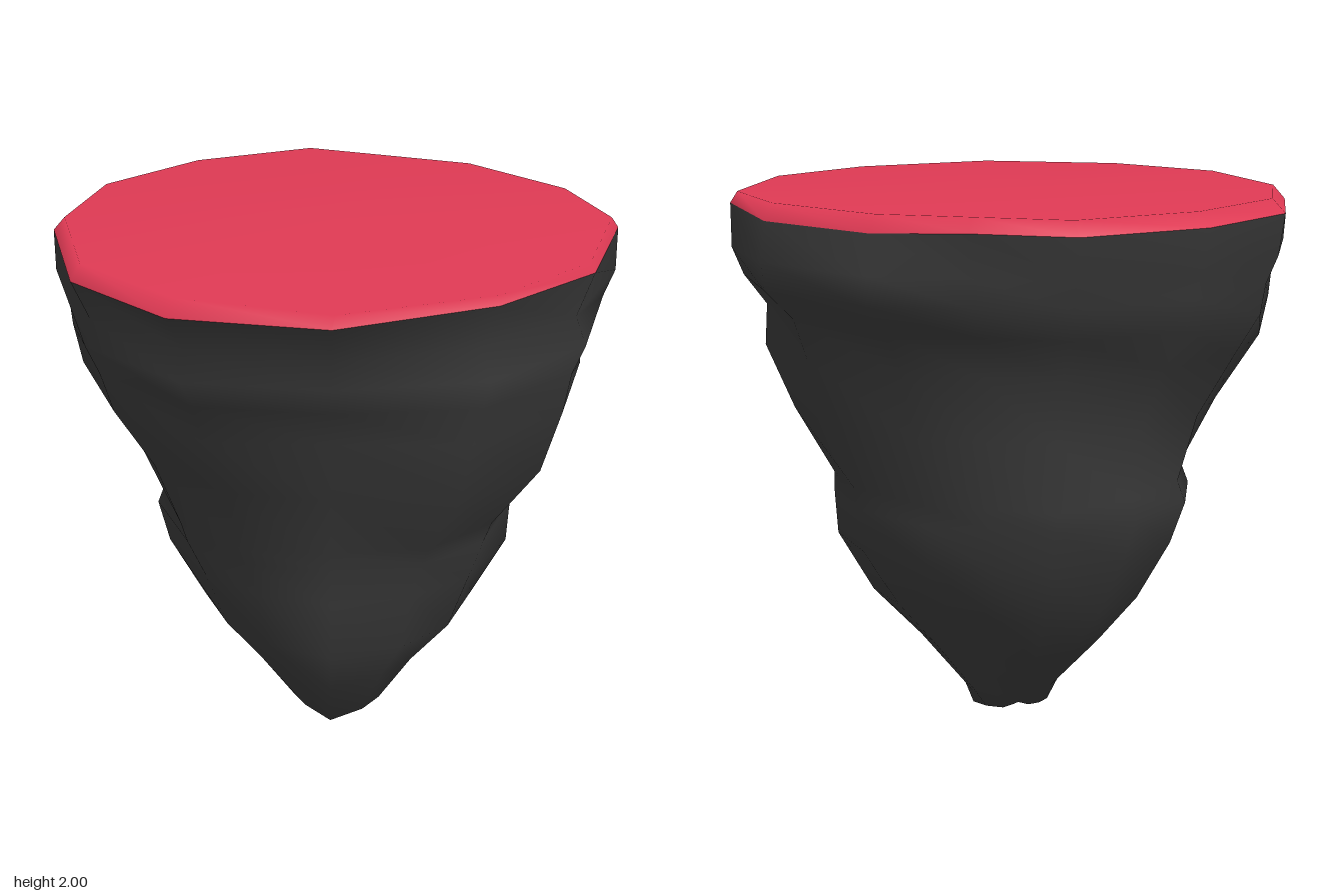
import * as THREE from 'three';

// Rim outline: x, z, y
const rim = [
  [-0.29, -0.97, 1.95], [0.2, -0.98, 1.95], [0.66, -0.79, 1.95], [0.81, -0.46, 1.95],
  [0.95, -0.15, 1.94], [0.94, 0.35, 1.94], [0.76, 0.71, 1.96], [0.28, 0.98, 1.965],
  [-0.21, 0.98, 1.97], [-0.73, 0.74, 1.96], [-0.99, 0.25, 1.94], [-0.98, -0.25, 1.94],
  [-0.68, -0.73, 1.95],
];

// Reach of the rim in eight directions: +x, +x+z, +z, -x+z, -x, -x-z, -z, +x-z
const rimReach = [0.95, 1.04, 0.98, 1.04, 0.99, 1.0, 0.98, 1.025];

// Rock layers: height, then reach in the same eight directions
const layers = [
  [1.80, 0.98, 1.04, 0.90, 0.91, 0.91, 1.00, 0.95, 0.98],
  [1.70, 0.99, 1.00, 0.97, 0.90, 0.95, 0.96, 0.91, 0.95],
  [1.59, 0.87, 0.92, 0.94, 0.83, 0.89, 0.95, 0.89, 0.89],
  [1.44, 0.78, 0.93, 0.90, 0.74, 0.84, 0.92, 0.78, 0.79],
  [1.20, 0.71, 0.83, 0.84, 0.67, 0.70, 0.76, 0.66, 0.75],
  [0.95, 0.66, 0.69, 0.65, 0.58, 0.62, 0.63, 0.62, 0.71],
  [0.87, 0.65, 0.69, 0.61, 0.56, 0.58, 0.66, 0.65, 0.68],
  [0.71, 0.62, 0.68, 0.54, 0.52, 0.50, 0.62, 0.59, 0.63],
  [0.48, 0.47, 0.55, 0.48, 0.50, 0.43, 0.49, 0.47, 0.51],
  [0.29, 0.33, 0.37, 0.34, 0.40, 0.29, 0.34, 0.32, 0.35],
  [0.08, 0.18, 0.20, 0.22, 0.28, 0.16, 0.16, 0.13, 0.14],
  [0.00, 0.11, 0.17, 0.09, 0.04, 0.06, 0.12, 0.08, 0.03],
];

// Moves a rim corner in or out by the reaches of the two directions beside it
function fitCorner([x, z], [y, ...reach]) {
  const turn = (Math.atan2(z, x) / (Math.PI / 4) + 8) % 8;
  const a = Math.floor(turn), b = (a + 1) % 8;
  const t = THREE.MathUtils.smoothstep(turn - a, 0, 1);
  const scale = THREE.MathUtils.lerp(reach[a] / rimReach[a], reach[b] / rimReach[b], t);
  return [x * scale, y, z * scale];
}

// Skins a stack of rings, top to bottom, and closes one end with a centre point
function skin(rings, center, closeTop) {
  const n = rings[0].length;
  const index = [];
  for (let r = 0; r < rings.length - 1; r++) {
    for (let i = 0; i < n; i++) {
      const j = (i + 1) % n;
      const a = r * n + i, b = r * n + j, c = a + n, d = b + n;
      index.push(c, a, b, c, b, d);
    }
  }
  const tip = rings.length * n;
  const base = closeTop ? 0 : tip - n;
  for (let i = 0; i < n; i++) {
    const j = (i + 1) % n;
    if (closeTop) index.push(tip, base + j, base + i);
    else index.push(tip, base + i, base + j);
  }
  const geometry = new THREE.BufferGeometry();
  geometry.setAttribute('position', new THREE.Float32BufferAttribute([...rings.flat(2), ...center], 3));
  geometry.setIndex(index);
  geometry.computeVertexNormals();
  return geometry;
}

function part(name, geometry, color) {
  const mesh = new THREE.Mesh(geometry, new THREE.MeshStandardMaterial({ color }));
  mesh.name = name;
  return mesh;
}

export function createModel() {
  const group = new THREE.Group();
  group.name = 'floatingIsland';

  const edge = rim.map(([x, z, y]) => [x, y, z]);

  // Rock underside: the rim outline shrinks unevenly towards a narrow tip
  const rock = layers.map((layer) => rim.map((corner) => fitCorner(corner, layer)));
  group.add(part('rockUnderside', skin([edge, ...rock], [0.02, 0, 0.01], false), 0x3a3a3a));

  // Ground surface: flat top with a narrow bevelled rim
  const inner = rim.map(([x, z]) => [x * 0.965, 2, z * (z < 0 ? 0.95 : 0.985)]);
  group.add(part('groundSurface', skin([inner, edge], [0, 2, 0], true), 0xdf3a54));

  return group;
}
